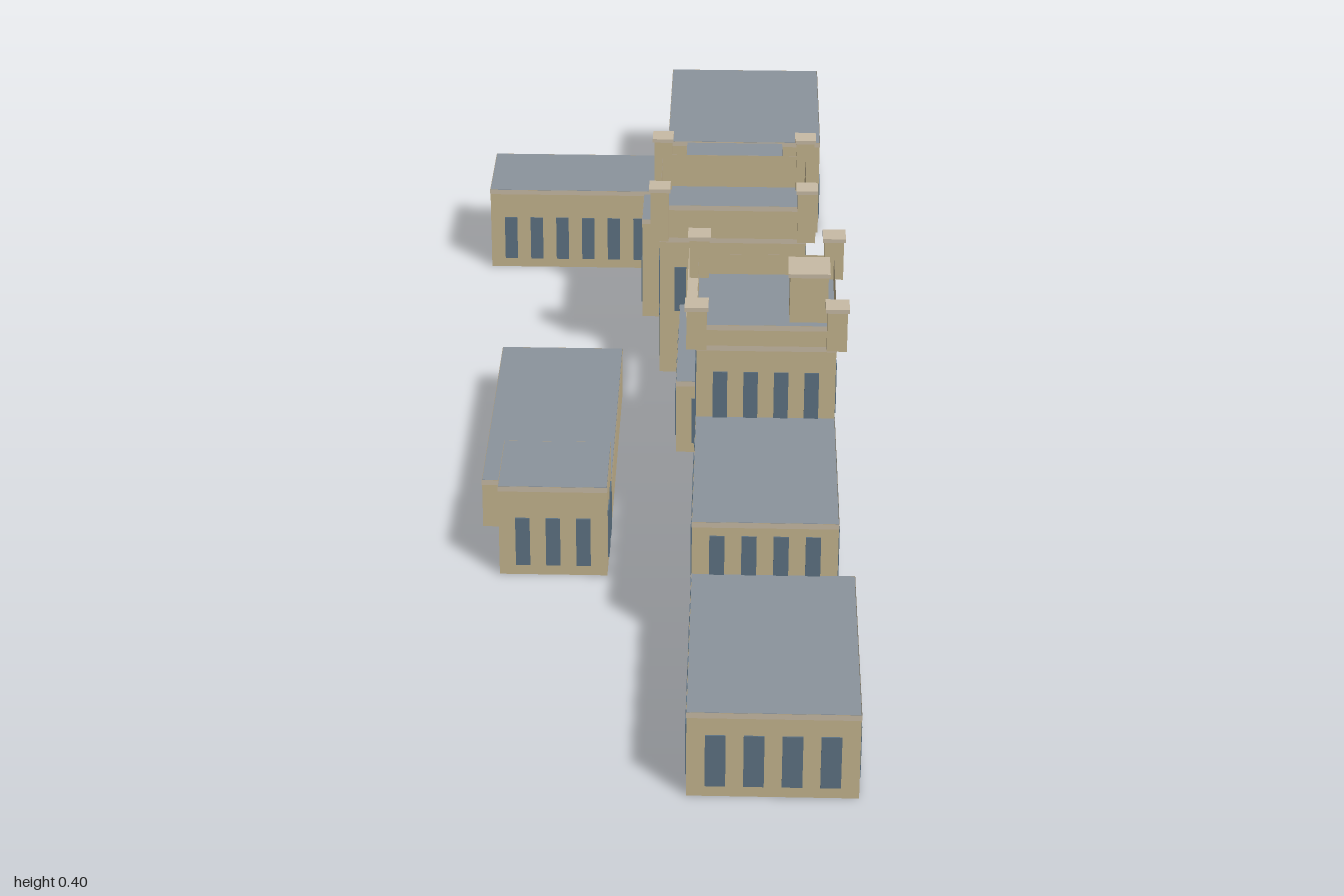
import * as THREE from 'three';

const mat = (name, color, side = THREE.FrontSide) => {
  const m = new THREE.MeshStandardMaterial({ color, side });
  m.name = name;
  return m;
};
const stone = mat('sandstone', 0xc4b48e, THREE.DoubleSide);
const slate = mat('slate roof', 0x8b949c);
const glass = mat('window glass', 0x5d7282);
const trim = mat('pale trim', 0xc8bba5, THREE.DoubleSide);

// Building blocks: x range, z range, roof height, window rows, parapet top
const blocks = [
  { name: 'frontWing', x: [0.071, 0.289], z: [0.67, 1], h: 0.125, rows: 1 },
  { name: 'frontHall', x: [0.071, 0.266], z: [0.377, 0.67], h: 0.205, rows: 2 },
  { name: 'frontTower', x: [0.071, 0.266], z: [0.149, 0.377], h: 0.318, rows: 3, top: 0.35 },
  { name: 'middleHall', x: [0.037, 0.232], z: [-0.149, 0.112], h: 0.12, rows: 1 },
  { name: 'backTower', x: [0.005, 0.232], z: [-0.343, -0.149], h: 0.235, rows: 2, top: 0.29 },
  { name: 'towerAnnex', x: [-0.029, 0.232], z: [-0.44, -0.343], h: 0.175, rows: 1 },
  { name: 'linkHall', x: [0.037, 0.2], z: [-0.675, -0.44], h: 0.167, rows: 1 },
  { name: 'sideWing', x: [-0.29, 0.037], z: [-0.675, -0.525], h: 0.142, rows: 1 },
  { name: 'backBlock', x: [0.005, 0.264], z: [-1, -0.675], h: 0.169, rows: 1 },
  { name: 'lowShed', x: [-0.237, -0.051], z: [-0.076, 0.342], h: 0.077, rows: 0 },
  { name: 'gatehouse', x: [-0.203, -0.051], z: [0.342, 0.473], h: 0.142, rows: 1 },
];

function add(parent, name, geometry, material, x, y, z) {
  const mesh = new THREE.Mesh(geometry, material);
  mesh.name = name;
  mesh.position.set(x, y, z);
  parent.add(mesh);
  return mesh;
}

const box = (w, h, d) => new THREE.BoxGeometry(w, h, d);

// Four walls, open at top and bottom
function wallRing(w, h, d) {
  const g = new THREE.CylinderGeometry(Math.SQRT1_2, Math.SQRT1_2, 1, 4, 1, true, Math.PI / 4);
  g.scale(w, h, d);
  const flat = g.toNonIndexed();
  flat.computeVertexNormals();
  return flat;
}

const isInside = (x, y, z) => blocks.some((b) =>
  x > b.x[0] && x < b.x[1] && z > b.z[0] && z < b.z[1] && y < b.h);

// Rows of thin window plates on all four sides, left out where another block adjoins
function addWindows(parent, b) {
  const margin = 0.012, plate = 0.002, height = 0.076;
  const sides = [['x', 'z', 0], ['x', 'z', 1], ['z', 'x', 0], ['z', 'x', 1]];
  for (const [along, across, end] of sides) {
    const run = b[along][1] - b[along][0] - 2 * margin;
    const count = Math.max(1, Math.round(run / 0.045));
    const cell = run / count;
    const width = Math.max(0.016, cell - 0.0225);
    const face = b[across][end], out = end ? 1 : -1;
    for (let row = 0; row < b.rows; row++) {
      for (let i = 0; i < count; i++) {
        const p = { y: 0.054 + row * 0.0925 };
        p[along] = b[along][0] + margin + cell * (i + 0.5);
        p[across] = face + out * 0.004;
        if (isInside(p.x, p.y, p.z)) continue;
        p[across] = face + out * plate / 2;
        const g = along === 'x' ? box(width, height, plate) : box(plate, height, width);
        add(parent, 'window', g, glass, p.x, p.y, p.z);
      }
    }
  }
}

// Square shaft with a wider cap
function addCapped(parent, name, x, z, w, d, y0, y1) {
  const g = new THREE.Group();
  g.name = name;
  const cap = 0.006;
  add(g, 'shaft', box(w, y1 - cap - y0, d), stone, x, (y0 + y1 - cap) / 2, z);
  add(g, 'cap', box(w + 0.005, cap, d + 0.005), trim, x, y1 - cap / 2, z);
  parent.add(g);
}

function addBlock(parent, b) {
  const g = new THREE.Group();
  g.name = b.name;
  const w = b.x[1] - b.x[0], d = b.z[1] - b.z[0];
  const cx = (b.x[0] + b.x[1]) / 2, cz = (b.z[0] + b.z[1]) / 2;
  const top = b.top ?? b.h;
  add(g, 'walls', wallRing(w, top, d), stone, cx, top / 2, cz);
  add(g, 'roof', box(w - 0.0005, 0.003, d - 0.0005), slate, cx, b.h - 0.0013, cz);
  for (const y of new Set([b.h, top]))
    add(g, 'cornice', wallRing(w + 0.001, 0.008, d + 0.001), trim, cx, y - 0.004, cz);
  addWindows(g, b);
  // Corner turrets on the towers
  if (b.top)
    for (const x of b.x) for (const z of b.z)
      addCapped(g, 'turret', x, z, 0.028, 0.028, b.h, b.top + 0.034);
  parent.add(g);
}

export function createModel() {
  const model = new THREE.Group();
  model.name = 'towerHouse';
  for (const b of blocks) addBlock(model, b);

  // Rooftop cabin on the front tower
  addCapped(model, 'roofCabin', 0.228, 0.277, 0.054, 0.052, 0.318, 0.395);

  // Glazed bridge between the towers
  const bridge = new THREE.Group();
  bridge.name = 'bridge';
  add(bridge, 'glazing', box(0.028, 0.031, 0.298), glass, 0.067, 0.2305, 0);
  add(bridge, 'bridgeRoof', box(0.03, 0.003, 0.298), trim, 0.067, 0.2465, 0);
  model.add(bridge);
  return model;
}
